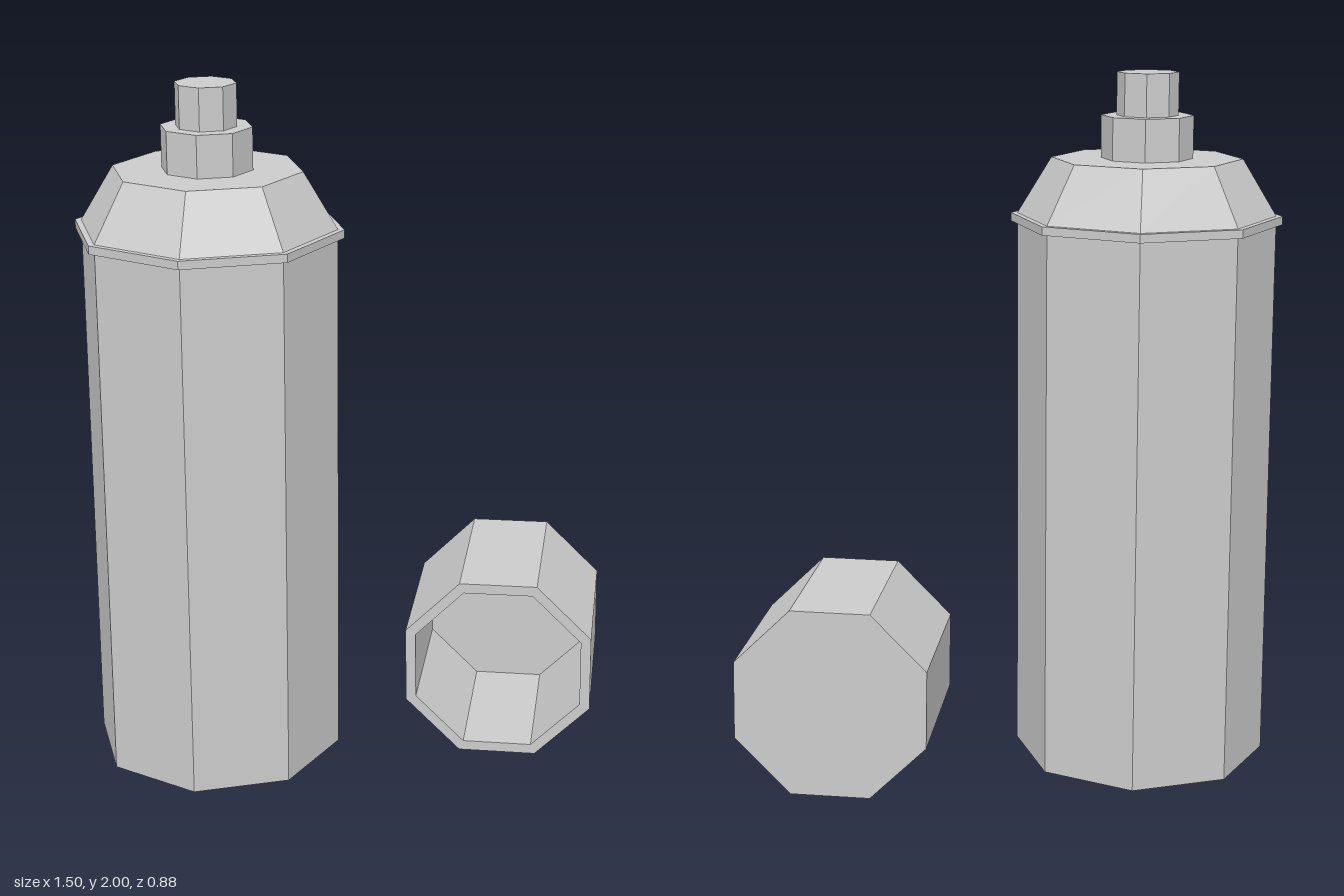
import * as THREE from 'three';

const SIDES = 8;
const material = new THREE.MeshStandardMaterial({ color: 0xcccccc, flatShading: true });

// Octagonal ring section between two heights
function section(name, bottomRadius, topRadius, y0, y1) {
  const geometry = new THREE.CylinderGeometry(topRadius, bottomRadius, y1 - y0, SIDES);
  const mesh = new THREE.Mesh(geometry, material);
  mesh.name = name;
  mesh.position.y = (y0 + y1) / 2;
  return mesh;
}

// Upright spray can
function createCan() {
  const can = new THREE.Group();
  can.name = 'sprayCan';
  can.add(
    section('body', 0.367, 0.367, 0, 1.58),
    section('rim', 0.385, 0.385, 1.576, 1.6),
    section('shoulder', 0.367, 0.27, 1.6, 1.76),
    section('valveCollar', 0.13, 0.13, 1.76, 1.88),
    section('nozzle', 0.087, 0.087, 1.88, 2)
  );
  can.position.set(-0.367, 0, 0.051);
  return can;
}

// Hollow cap lying on its side, open end towards the front
function createCap() {
  const length = 0.495, outer = 0.296, inner = 0.264, wall = 0.035;
  const profile = [
    [0, 0], [outer, 0], [outer, length], [inner, length], [inner, wall], [0, wall],
  ].map(([r, y]) => new THREE.Vector2(r, y));
  const geometry = new THREE.LatheGeometry(profile, SIDES, Math.PI / 8 + 0.018);
  const cap = new THREE.Mesh(geometry, material);
  cap.name = 'cap';
  cap.rotation.x = Math.PI / 2;
  cap.position.set(0.477, 0.275, -0.444);
  return cap;
}

export function createModel() {
  const model = new THREE.Group();
  model.name = 'sprayCanWithCap';
  model.add(createCan(), createCap());
  return model;
}
